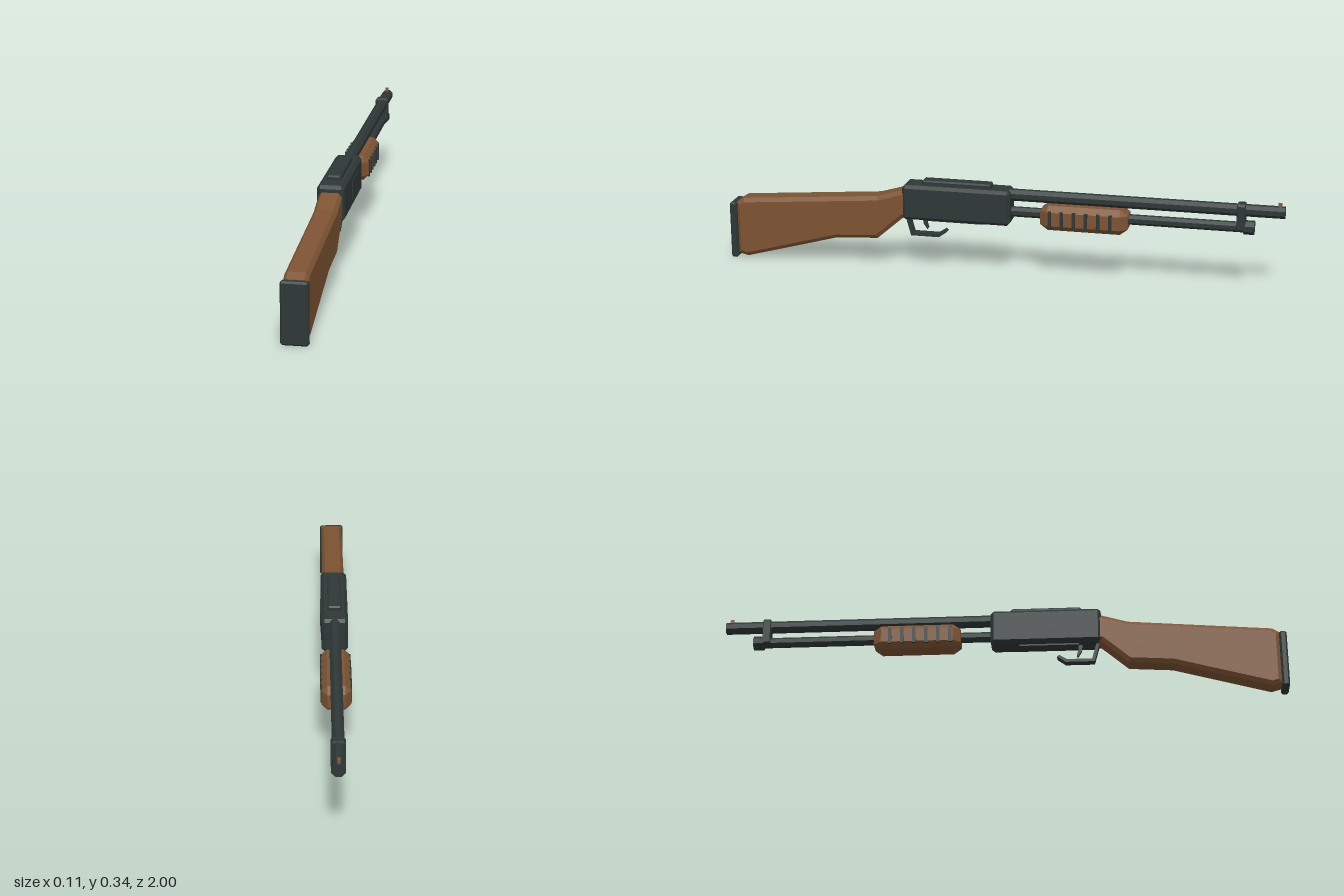
import * as THREE from 'three';
import { ConvexGeometry } from 'three/addons/geometries/ConvexGeometry.js';

const metal = new THREE.MeshStandardMaterial({ name: 'gunmetal', color: 0x2e3837 });
const wood = new THREE.MeshStandardMaterial({ name: 'walnut', color: 0x7e5433 });
const bronze = new THREE.MeshStandardMaterial({ name: 'bronze', color: 0x8a5a2c });

// Box given by its limits, long edges cut by b and end edges by c
function chamferBox([x0, x1], [y0, y1], [z0, z1], b, c = b) {
  const w = (x1 - x0) / 2, h = (y1 - y0) / 2, d = (z1 - z0) / 2;
  const points = [];
  for (const sx of [-1, 1]) for (const sy of [-1, 1]) for (const sz of [-1, 1]) {
    points.push(
      new THREE.Vector3(sx * w, sy * (h - b), sz * (d - c)),
      new THREE.Vector3(sx * (w - b), sy * h, sz * (d - c)),
      new THREE.Vector3(sx * (w - b), sy * (h - b), sz * d));
  }
  return new ConvexGeometry(points).translate((x0 + x1) / 2, (y0 + y1) / 2, (z0 + z1) / 2);
}

// Plain box given by its limits
function box([x0, x1], [y0, y1], [z0, z1]) {
  return new THREE.BoxGeometry(x1 - x0, y1 - y0, z1 - z0)
    .translate((x0 + x1) / 2, (y0 + y1) / 2, (z0 + z1) / 2);
}

// Faceted rod along z, with flats on top and at the sides
function rod(flat, y, z0, z1) {
  const r = flat / Math.cos(Math.PI / 8);
  return new THREE.CylinderGeometry(r, r, z1 - z0, 8).toNonIndexed()
    .rotateY(Math.PI / 8).rotateX(Math.PI / 2).translate(0, y, (z0 + z1) / 2);
}

// Side profile of [z, y] points, extruded across x with bevelled rims
function profile(points, width, bevel, inset) {
  const shape = new THREE.Shape(points.map(([z, y]) => new THREE.Vector2(z, y)));
  const depth = width - 2 * bevel;
  return new THREE.ExtrudeGeometry(shape, {
    depth, bevelEnabled: bevel > 0, bevelSegments: 1,
    bevelThickness: bevel, bevelSize: inset, bevelOffset: -inset,
  }).translate(0, 0, -depth / 2).rotateY(-Math.PI / 2);
}

export function createModel() {
  const model = new THREE.Group();
  const add = (name, geometry, material) => {
    if (!geometry.index) geometry.computeVertexNormals();
    const mesh = new THREE.Mesh(geometry, material);
    mesh.name = name;
    model.add(mesh);
  };

  // Shoulder stock and butt pad
  add('stock', profile([
    [0.37, 0.298], [0.35, 0.298], [0.445, 0.27], [0.95, 0.228], [0.976, 0.212],
    [0.976, 0.018], [0.94, 0.008], [0.6, 0.102], [0.445, 0.112], [0.35, 0.195], [0.37, 0.195],
  ].map(([z, y], i) => (i === 0 || i === 10 ? [0.325, y] : [z, y])), 0.08, 0.011, 0.014), wood);
  add('buttPad', chamferBox([-0.045, 0.045], [0.002, 0.212], [0.974, 1], 0.006), metal);

  // Receiver with top rail, side port and loading plate
  add('receiver', chamferBox([-0.047, 0.047], [0.194, 0.321], [-0.042, 0.35], 0.011), metal);
  add('topRail', chamferBox([-0.024, 0.024], [0.31, 0.337], [0.03, 0.28], 0.005), metal);
  add('sidePort', box([0.04, 0.05], [0.225, 0.293], [0.05, 0.18]), metal);
  add('loadingPlate', box([-0.025, 0.025], [0.188, 0.2], [0.06, 0.27]), metal);

  // Trigger and its open guard
  add('triggerGuard', profile([
    [0.345, 0.2], [0.325, 0.126], [0.222, 0.126], [0.192, 0.148], [0.2, 0.154],
    [0.226, 0.137], [0.316, 0.137], [0.333, 0.2],
  ], 0.03, 0, 0), metal);
  add('trigger', profile([
    [0.284, 0.2], [0.28, 0.172], [0.266, 0.15], [0.262, 0.156], [0.268, 0.175], [0.266, 0.2],
  ], 0.014, 0, 0), metal);

  // Barrel, magazine tube and the clamp joining them
  add('barrel', rod(0.02, 0.3, -1, -0.03), metal);
  add('magazineTube', rod(0.017, 0.238, -0.88, -0.03), metal);
  add('magazineCap', rod(0.023, 0.238, -0.897, -0.86), metal);
  add('barrelClamp', chamferBox([-0.024, 0.024], [0.225, 0.325], [-0.866, -0.835], 0.008, 0.003), metal);
  add('frontSight', box([-0.005, 0.005], [0.315, 0.333], [-0.987, -0.975]), bronze);

  // Sliding forend with raised grip ribs on both sides
  add('forend', chamferBox([-0.05, 0.05], [0.188, 0.278], [-0.46, -0.15], 0.02, 0.027), wood);
  for (const side of [-1, 1]) {
    for (let i = 0; i < 6; i++) {
      const z = -0.186 - i * 0.043;
      const xs = side > 0 ? [0.045, 0.053] : [-0.053, -0.045];
      add('gripRib', box(xs, [0.201, 0.262], [z - 0.006, z + 0.006]), metal);
    }
  }
  return model;
}
